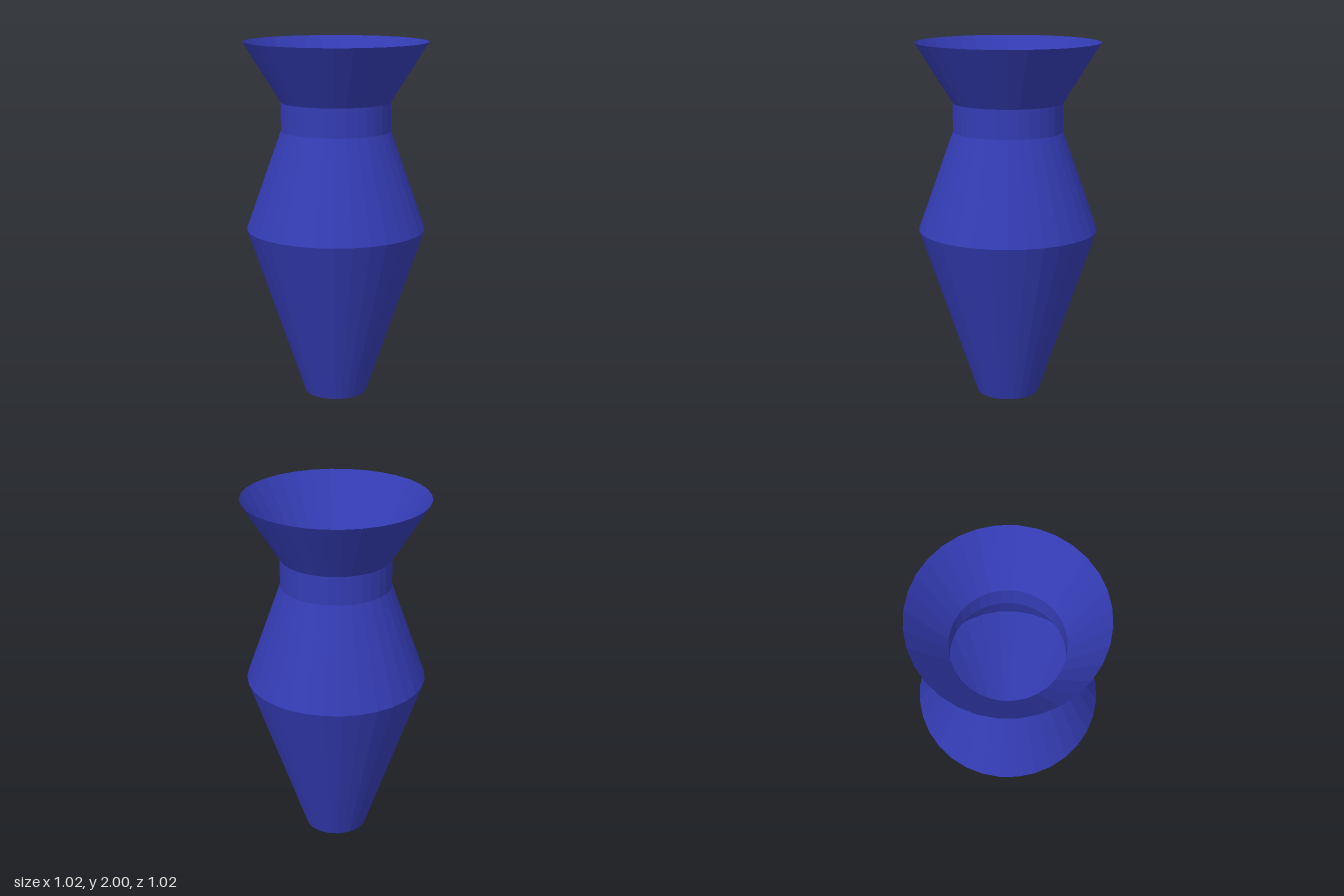
import * as THREE from 'three';

const SIDES = 32;

export function createModel() {
  const vase = new THREE.Group();
  vase.name = 'vase';

  const blueGlaze = new THREE.MeshStandardMaterial({
    color: 0x343cb4,
    flatShading: true,
    side: THREE.DoubleSide,
  });
  blueGlaze.name = 'blue glaze';

  // Thin open wall sections, each [name, bottom radius, top radius, bottom y, top y]
  const sections = [
    ['lowerBody', 0.175, 0.5, 0, 0.96],
    ['shoulder', 0.5, 0.305, 0.96, 1.51],
    ['neck', 0.305, 0.305, 1.51, 1.67],
    ['flaredRim', 0.305, 0.51, 1.67, 2],
  ];
  for (const [name, r0, r1, y0, y1] of sections) {
    const wall = new THREE.Mesh(
      new THREE.CylinderGeometry(r1, r0, y1 - y0, SIDES, 1, true),
      blueGlaze
    );
    wall.position.y = (y0 + y1) / 2;
    wall.name = name;
    vase.add(wall);
  }

  // Flat base closing the foot, facing down outside and up inside
  const base = new THREE.Mesh(new THREE.CircleGeometry(0.175, SIDES), blueGlaze);
  base.rotation.x = Math.PI / 2;
  base.name = 'base';
  vase.add(base);

  return vase;
}
